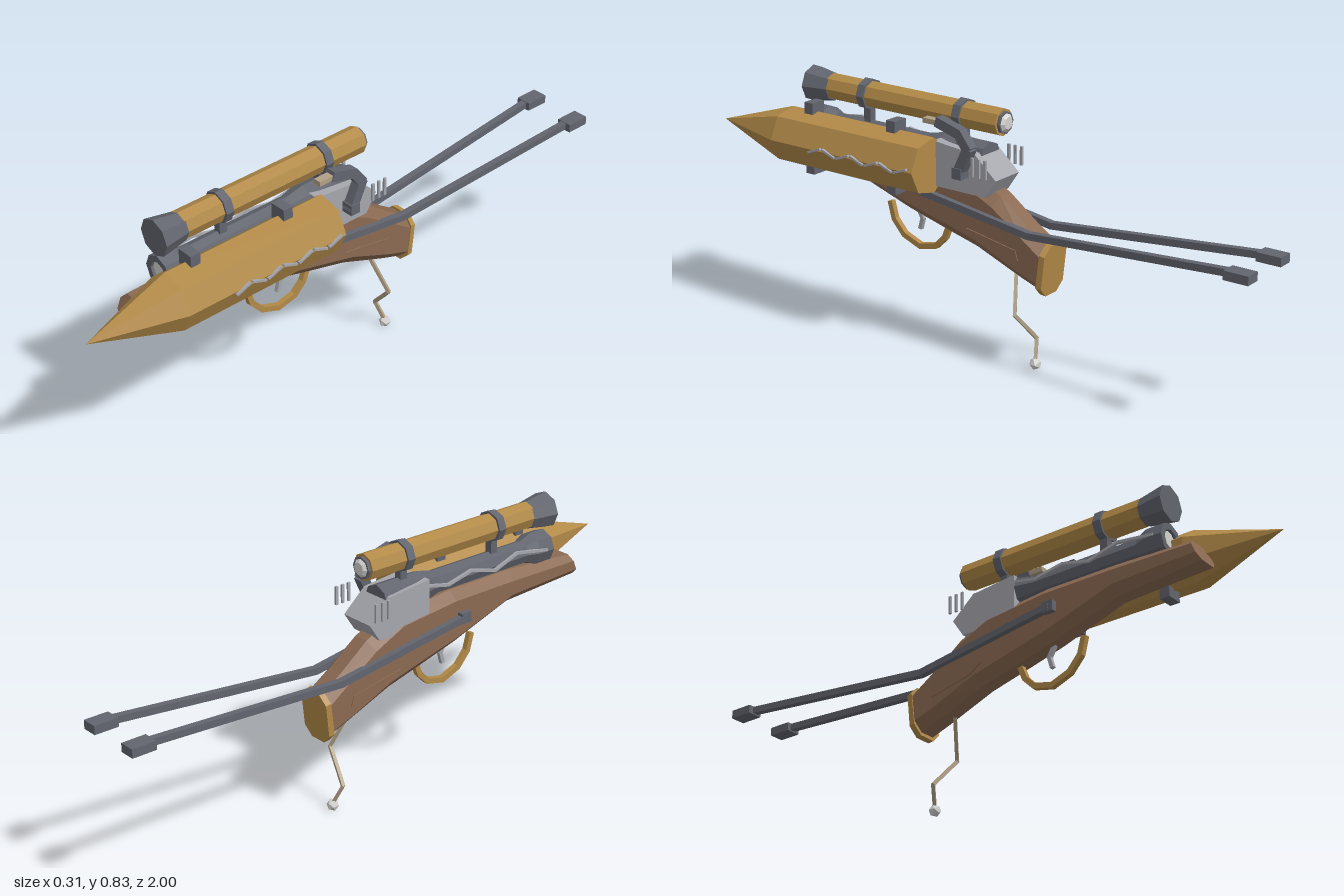
import * as THREE from 'three';

const CX = -0.04; // centre line of stock, barrel and scope
const mat = (name, color) => { const m = new THREE.MeshStandardMaterial({ color }); m.name = name; return m; };

export function createModel() {
  const model = new THREE.Group();
  const gold = mat('brass', 0xb28a48), brown = mat('wood', 0x8b6a52), gray = mat('gunmetal', 0x62656e);
  const silver = mat('silver', 0xa6a7ae), tan = mat('flint tan', 0xb0a085), white = mat('glass white', 0xd4d3d0);

  // Faceted mesh: every face gets its own normal
  function add(name, geo, material, x = 0, y = 0, z = 0) {
    const g = geo.index ? geo.toNonIndexed() : geo;
    g.computeVertexNormals();
    const mesh = new THREE.Mesh(g, material);
    mesh.name = name;
    mesh.position.set(x, y, z);
    model.add(mesh);
    return mesh;
  }
  const box = (name, m, w, h, d, x, y, z) => add(name, new THREE.BoxGeometry(w, h, d), m, x, y, z);
  // Cylinder along z between z0 (radius r0) and z1 (radius r1)
  function tubeZ(name, m, r0, r1, z0, z1, x, y, sides = 8) {
    const g = new THREE.CylinderGeometry(r1, r0, z1 - z0, sides, 1, false, Math.PI / 2).rotateX(Math.PI / 2);
    return add(name, g, m, x, y, (z0 + z1) / 2);
  }
  // Straight bar between two points
  function bar(name, m, a, b, w, h = w) {
    const p = new THREE.Vector3(...a), q = new THREE.Vector3(...b);
    const mesh = box(name, m, w, h, p.distanceTo(q) + w * 0.3, 0, 0, 0);
    mesh.position.copy(p).add(q).multiplyScalar(0.5);
    mesh.lookAt(q);
    return mesh;
  }
  function chain(name, m, pts, w, h) {
    for (let i = 1; i < pts.length; i++) bar(name, m, pts[i - 1], pts[i], w, h);
  }
  // Side profile of [z, y] points, extruded across x from x0 to x1
  function profile(name, m, pts, x0, x1) {
    const shape = new THREE.Shape(pts.map(([z, y]) => new THREE.Vector2(z, y)));
    const g = new THREE.ExtrudeGeometry(shape, { depth: x1 - x0, bevelEnabled: false }).rotateY(-Math.PI / 2);
    return add(name, g, m, x1, 0, 0);
  }
  // Chamfered sections [zTop, yTop, zBottom, yBottom, halfWidth], ordered back to front
  function loft(name, m, sections) {
    const rings = sections.map(([zt, yt, zb, yb, w]) => {
      const h = yt - yb, c = Math.min(0.03, h * 0.28), v = w - c;
      return [[w, c], [w, h - c], [v, h], [-v, h], [-w, h - c], [-w, c], [-v, 0], [v, 0]]
        .map(([x, y]) => [CX + x, yb + y, zb + (zt - zb) * y / h]);
    });
    const out = [];
    const tri = (...p) => p.forEach(q => out.push(...q));
    for (let i = 0; i + 1 < rings.length; i++) {
      for (let j = 0; j < 8; j++) {
        const k = (j + 1) % 8, a = rings[i], b = rings[i + 1];
        tri(a[j], a[k], b[k]);
        tri(a[j], b[k], b[j]);
      }
    }
    const back = rings[0], front = rings[rings.length - 1];
    for (let j = 1; j < 7; j++) {
      tri(back[0], back[j + 1], back[j]);
      tri(front[0], front[j], front[j + 1]);
    }
    const g = new THREE.BufferGeometry();
    g.setAttribute('position', new THREE.Float32BufferAttribute(out, 3));
    return add(name, g, m);
  }

  // Wooden stock and brass butt plate
  loft('stock', brown, [
    [-0.265, 0.425, -0.245, 0.28, 0.057], [-0.19, 0.475, -0.17, 0.305, 0.056],
    [-0.09, 0.55, 0, 0.37, 0.055], [0.02, 0.6, 0.12, 0.4, 0.054],
    [0.25, 0.622, 0.27, 0.44, 0.054], [0.5, 0.622, 0.5, 0.515, 0.053], [0.77, 0.607, 0.8, 0.535, 0.051]]);
  loft('buttPlate', gold, [[-0.28, 0.432, -0.262, 0.266, 0.058], [-0.262, 0.436, -0.242, 0.269, 0.06]]);
  for (const x of [0.013, -0.099]) {
    profile('stockPanel', brown, [[0.018, 0.434], [-0.03, 0.403], [-0.178, 0.37], [-0.168, 0.402]], x, x + 0.006);
  }

  // Barrel with thick breech and open muzzle
  const barrel = [[0, -0.03], [0.052, -0.03], [0.052, 0.14], [0.038, 0.2], [0.038, 0.58], [0.054, 0.62],
    [0.054, 0.68], [0.033, 0.68], [0.033, 0.655]];
  const barrelGeo = new THREE.LatheGeometry(barrel.map(p => new THREE.Vector2(...p)), 8).rotateX(Math.PI / 2);
  add('barrel', barrelGeo, gray, CX, 0.655, 0);
  tubeZ('muzzleCore', white, 0.036, 0.03, 0.64, 0.672, CX, 0.655, 12);
  chain('barrelWire', silver, [[-0.085, 0.68, 0.1], [-0.09, 0.655, 0.22], [-0.086, 0.675, 0.32],
    [-0.09, 0.65, 0.42], [-0.085, 0.68, 0.52], [-0.09, 0.66, 0.65]], 0.009);

  // Receiver behind the barrel
  profile('receiver', silver, [[0.14, 0.55], [0.14, 0.695], [-0.02, 0.68], [-0.1, 0.61], [-0.06, 0.55]], -0.092, 0.026);
  for (const x of [-0.115, 0.07]) {
    for (let i = 0; i < 3; i++) box('chargePin', silver, 0.007, 0.06, 0.009, x, 0.655, -0.045 - i * 0.024);
  }

  // Cock holding a flint
  chain('cock', gray, [[0.045, 0.615, 0.025], [0.045, 0.7, -0.015], [0.045, 0.745, 0.02], [0.045, 0.768, 0.1]], 0.032);
  bar('cockPivot', gray, [0.015, 0.62, 0.02], [0.06, 0.62, 0.02], 0.035);
  box('flint', tan, 0.026, 0.016, 0.06, 0.045, 0.765, 0.125);

  // Pointed seven-sided side tank, with brackets and zigzag stitches
  tubeZ('tankBody', gold, 0.091, 0.091, 0.13, 0.71, 0.055, 0.62, 7);
  const nose = new THREE.ConeGeometry(0.091, 0.29, 7, 1, false, Math.PI / 2).rotateX(Math.PI / 2);
  add('tankNose', nose, gold, 0.055, 0.62, 0.855);
  for (const z of [0.62, 0.28]) {
    box('topBracket', gray, 0.055, 0.05, 0.034, 0.034, 0.715, z);
    box('bottomBracket', gray, 0.055, 0.035, 0.034, 0.034, 0.52, z);
  }
  for (let i = 0; i < 7; i++) {
    const z = 0.15 + i * 0.058, s = i % 2 ? 0.009 : -0.009;
    bar('stitch', silver, [0.147, 0.62 - s, z], [0.147, 0.62 + s, z + 0.048], 0.009, 0.007);
  }

  // Scope
  tubeZ('scopeTube', gold, 0.044, 0.044, -0.08, 0.6, CX, 0.777);
  tubeZ('scopeBell', gray, 0.045, 0.06, 0.595, 0.685, CX, 0.775);
  tubeZ('eyepieceRing', gray, 0.036, 0.036, -0.09, -0.075, CX, 0.777);
  tubeZ('eyepieceLens', white, 0.02, 0.032, -0.099, -0.088, CX, 0.777);
  for (const z of [0.45, 0.07]) {
    tubeZ('scopeRing', gray, 0.051, 0.051, z - 0.014, z + 0.014, CX, 0.777);
    box('scopePost', gray, 0.025, 0.065, 0.026, CX, 0.71, z);
  }

  // Long bent side rods with end blocks
  for (const s of [-1, 1]) {
    const at = (dx, y, z) => [CX + s * dx, y, z];
    chain('sideRod', gray, [at(0.064, 0.535, 0.28), at(0.06, 0.462, -0.22), at(0.09, 0.518, -0.93)], 0.022);
    box('rodMount', gray, 0.022, 0.035, 0.04, CX + s * 0.062, 0.535, 0.28);
    box('rodEnd', gray, 0.052, 0.028, 0.08, CX + s * 0.092, 0.516, -0.96);
  }

  // Trigger guard and trigger
  chain('triggerGuard', gold, [[CX, 0.435, 0.365], [CX, 0.38, 0.35], [CX, 0.335, 0.31], [CX, 0.31, 0.245],
    [CX, 0.325, 0.18], [CX, 0.36, 0.145], [CX, 0.41, 0.125]], 0.018);
  chain('trigger', silver, [[CX, 0.45, 0.26], [CX, 0.405, 0.235], [CX, 0.37, 0.245]], 0.013);

  // Crooked leg with a ball foot
  chain('leg', tan, [[-0.035, 0.31, -0.135], [0.017, 0.19, -0.168], [-0.07, 0.092, -0.19], [CX, 0.025, -0.207]], 0.011);
  add('legFoot', new THREE.IcosahedronGeometry(0.02, 0), white, CX, 0.02, -0.207);

  return model;
}
